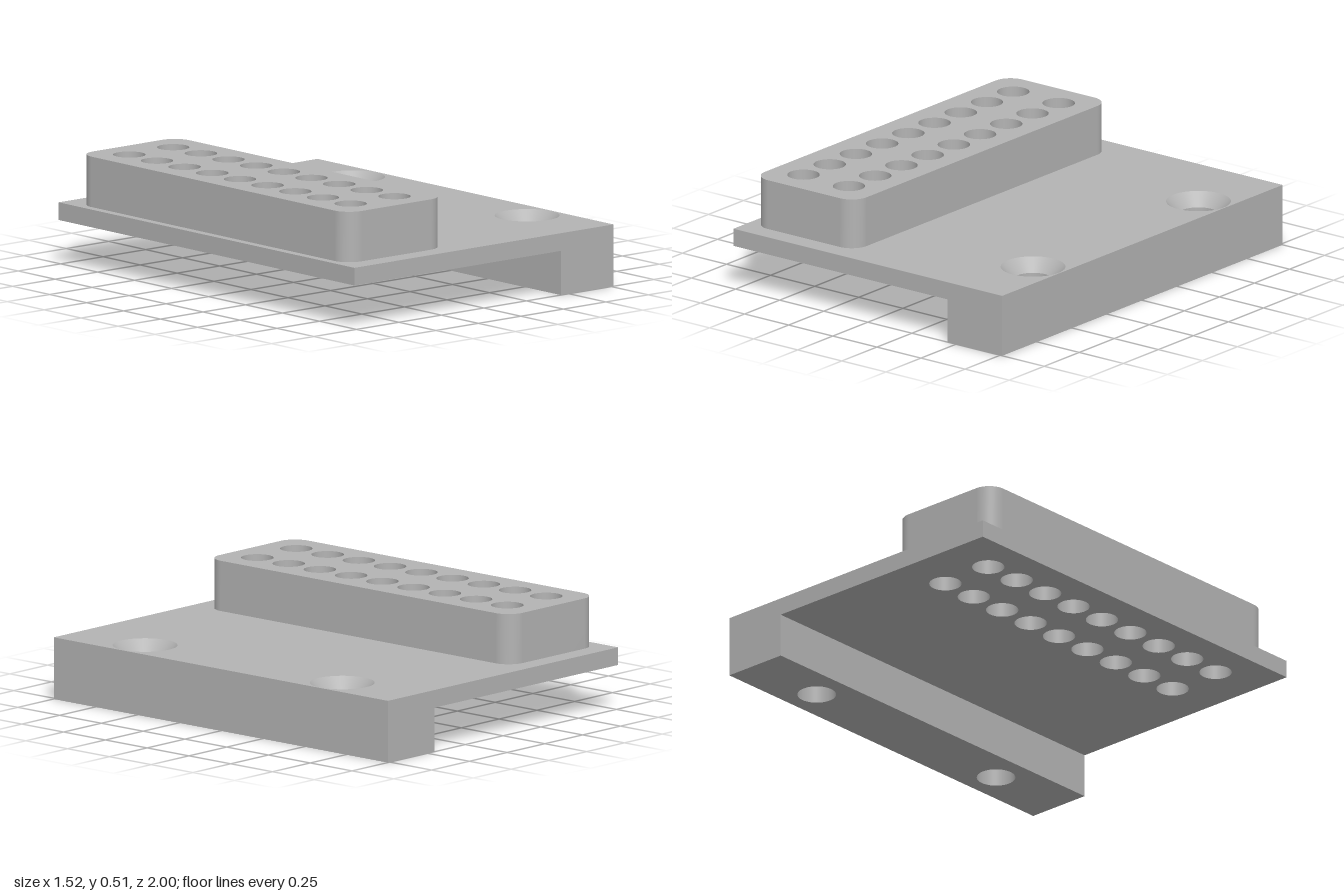
import * as THREE from 'three';

const ARC = 24; // gives 48-sided circles
const X = 0.762, Z = 1;                      // plate half sizes
const FOOT_X = 0.453;                        // inner face of the foot
const UNDER = 0.2, TOP = 0.28, BOSS_TOP = 0.508;
const BOSS = { x0: -0.724, x1: -0.147, z: 0.908, r: 0.085 };
const HOLE_R = 0.072, SCREW_R = 0.086, SINK_R = 0.144;

const pinHoles = [];
for (const x of [-0.565, -0.307]) {
  for (let i = -4; i <= 4; i++) pinHoles.push([x, i * 0.187]);
}
const screwHoles = [[0.611, -0.59], [0.611, 0.59]];

function rect(x0, x1) {
  return new THREE.Shape([[x0, -Z], [x1, -Z], [x1, Z], [x0, Z]].map(p => new THREE.Vector2(...p)));
}

function bossOutline() {
  const { x0, x1, z, r } = BOSS, s = new THREE.Shape();
  [[x1 - r, -z + r], [x1 - r, z - r], [x0 + r, z - r], [x0 + r, -z + r]].forEach(([cx, cy], i) => {
    const a = (i - 1) * Math.PI / 2;
    s.absarc(cx, cy, r, a, a + Math.PI / 2, false);
  });
  return s;
}

function cutCircles(shape, centres, r) {
  for (const [x, z] of centres) {
    shape.holes.push(new THREE.Path().absarc(x, z, r, 0, Math.PI * 2, true));
  }
  return shape;
}

// Horizontal face from a shape, facing up or down
function flat(shape, y, up) {
  return new THREE.ShapeGeometry(shape, ARC).rotateX(up ? -Math.PI / 2 : Math.PI / 2).translate(0, y, 0);
}

// Vertical wall around a closed outline
function wall(shape, y0, y1) {
  const pts = shape.getPoints(ARC / 2), n = pts.length, pos = [], idx = [];
  pts.forEach((p, i) => {
    pos.push(p.x, y0, -p.y, p.x, y1, -p.y);
    const a = 2 * i, b = 2 * ((i + 1) % n);
    idx.push(a, b, b + 1, a, b + 1, a + 1);
  });
  const g = new THREE.BufferGeometry();
  g.setAttribute('position', new THREE.Float32BufferAttribute(pos, 3));
  g.setIndex(idx);
  g.computeVertexNormals();
  return g;
}

// Vertical side facing +x (dir 1) or -x (dir -1)
function side(x, y0, y1, dir) {
  return new THREE.PlaneGeometry(2 * Z, y1 - y0).rotateY(dir * Math.PI / 2).translate(x, (y0 + y1) / 2, 0);
}

// Inward-facing bore, profile listed from top to bottom
function bore(profile, [x, z]) {
  const pts = profile.map(p => new THREE.Vector2(...p));
  return new THREE.LatheGeometry(pts, ARC * 2).translate(x, 0, z);
}

export function createModel() {
  const grey = new THREE.MeshStandardMaterial({ color: 0xb3b3b3 });
  grey.name = 'grey';
  const model = new THREE.Group();
  model.name = 'mountingPlate';
  const part = (name) => {
    const g = new THREE.Group();
    g.name = name;
    model.add(g);
    return (meshName, geometry) => {
      const m = new THREE.Mesh(geometry, grey);
      m.name = meshName;
      g.add(m);
    };
  };

  // Plate with the foot along its left edge
  const plate = part('plateAndFoot');
  const topShape = cutCircles(rect(-X, X), screwHoles, SINK_R);
  topShape.holes.push(bossOutline());
  plate('plateTop', flat(topShape, TOP, true));
  plate('plateUnderside', flat(cutCircles(rect(-X, FOOT_X), pinHoles, HOLE_R), UNDER, false));
  plate('footUnderside', flat(cutCircles(rect(FOOT_X, X), screwHoles, SCREW_R), 0, false));
  plate('plateRightSide', side(-X, UNDER, TOP, -1));
  plate('plateLeftSide', side(X, 0, TOP, 1));
  plate('footInnerSide', side(FOOT_X, 0, UNDER, -1));
  const profile = new THREE.Shape([
    [-X, UNDER], [FOOT_X, UNDER], [FOOT_X, 0], [X, 0], [X, TOP], [-X, TOP],
  ].map(p => new THREE.Vector2(...p)));
  plate('frontEnd', new THREE.ShapeGeometry(profile).translate(0, 0, Z));
  // the back end is the mirrored profile turned around
  const mirrored = new THREE.Shape(profile.getPoints().map(p => new THREE.Vector2(-p.x, p.y)).reverse());
  plate('backEnd', new THREE.ShapeGeometry(mirrored).rotateY(Math.PI).translate(0, 0, -Z));

  // Raised rounded block
  const boss = part('raisedBlock');
  boss('blockWall', wall(bossOutline(), TOP, BOSS_TOP));
  boss('blockTop', flat(cutCircles(bossOutline(), pinHoles, HOLE_R), BOSS_TOP, true));

  // Straight through holes in the block
  const pins = part('pinHoles');
  for (const c of pinHoles) pins('pinHole', bore([[HOLE_R, BOSS_TOP], [HOLE_R, UNDER]], c));

  // Countersunk screw holes through the foot
  const screws = part('screwHoles');
  const sinkY = TOP - (SINK_R - SCREW_R);
  for (const c of screwHoles) {
    screws('countersink', bore([[SINK_R, TOP], [SCREW_R, sinkY]], c));
    screws('screwHole', bore([[SCREW_R, sinkY], [SCREW_R, 0]], c));
  }
  return model;
}
